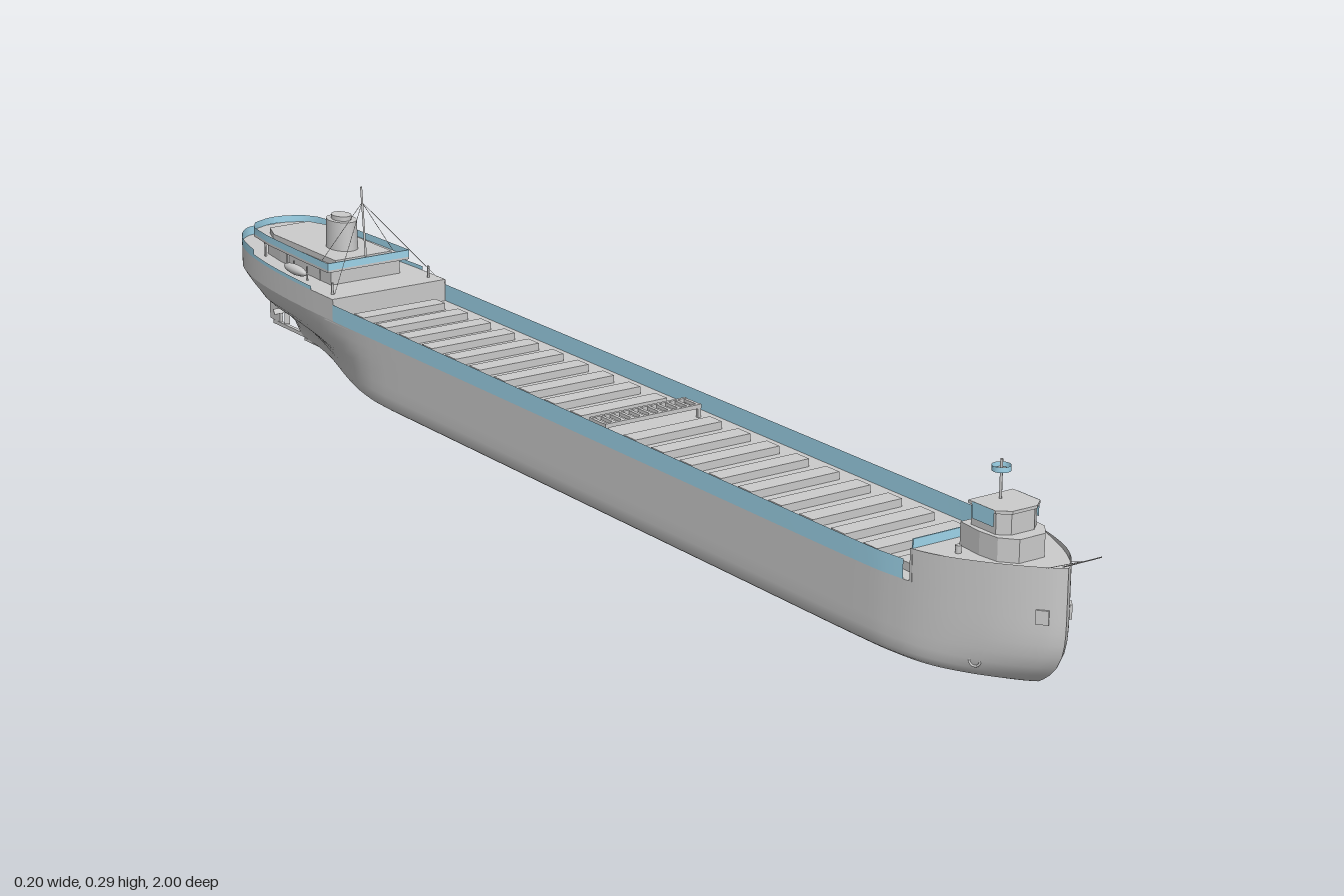
import * as THREE from 'three';

const grey = new THREE.MeshStandardMaterial({ color: 0xcccccc, side: THREE.DoubleSide });
const blue = new THREE.MeshStandardMaterial({ color: 0x9fd6ec, side: THREE.DoubleSide });
const smooth = THREE.MathUtils.smoothstep, lerp = THREE.MathUtils.lerp;

// Half width of the deck along the ship, as [z, halfWidth]
const OUTLINE = [[-1, 0], [-0.995, 0.022], [-0.975, 0.043], [-0.94, 0.062], [-0.88, 0.079], [-0.8, 0.091],
  [-0.7, 0.098], [-0.6, 0.1], [-0.4, 0.1], [0, 0.1], [0.4, 0.1], [0.66, 0.1], [0.74, 0.096], [0.8, 0.084],
  [0.86, 0.062], [0.9, 0.041], [0.93, 0.018], [0.945, 0]];
const stations = new THREE.SplineCurve(OUTLINE.map(p => new THREE.Vector2(...p))).getPoints(102);

function halfWidth(z) {
  for (let i = 1; i < stations.length; i++) {
    const a = stations[i - 1], b = stations[i];
    if (z <= b.x) return Math.max(0, lerp(a.y, b.y, (z - a.x) / (b.x - a.x)));
  }
  return 0;
}

const zRange = (z0, z1) => [z0, ...stations.map(s => s.x).filter(z => z > z0 + 1e-4 && z < z1 - 1e-4), z1];

// Surface through rows of points
function loft(rows) {
  const n = rows[0].length, index = [];
  for (let i = 0; i < rows.length - 1; i++)
    for (let j = 0; j < n - 1; j++) {
      const a = i * n + j, b = a + n;
      index.push(a, a + 1, b, a + 1, b + 1, b);
    }
  const g = new THREE.BufferGeometry();
  g.setAttribute('position', new THREE.Float32BufferAttribute(rows.flat(2), 3));
  g.setIndex(index);
  g.computeVertexNormals();
  return g;
}

// Cross-sections blend from a full midship box to a narrow stern run
function hullGeometry(deckY) {
  const height = [0, 0, 0.015, 0.06, 0.13, 0.25, 0.4, 0.55, 0.7, 0.85, 1];
  const full = [0, 0.8, 0.88, 0.95, 0.985, 1, 1, 1, 1, 1, 1];
  const run = [0, 0.03, 0.04, 0.06, 0.09, 0.17, 0.34, 0.6, 0.8, 0.93, 1];
  const rows = stations.map(({ x: z, y }) => {
    const w = Math.max(0, y), t = 1 - smooth(z, -0.88, -0.45);
    const keel = 0.002 + 0.055 * smooth(-z, 0.85, 0.93) + 0.035 * smooth(-z, 0.93, 1);
    const side = height.map((f, j) => [w * lerp(full[j], run[j], t), lerp(keel, deckY, f),
      z - 0.045 * (1 - f) ** 4 * smooth(z, 0.75, 0.94)]);
    return [...side.slice(1).reverse().map(([x, yy, zz]) => [-x, yy, zz]), ...side];
  });
  return loft(rows);
}

// Upright strip following the ship's side
function sideStrip(z0, z1, low, high, sign, inset = 0) {
  return loft(zRange(z0, z1).map(z => {
    const x = sign * Math.max(0, halfWidth(z) - inset);
    return [[x, low(z), z], [x, high(z), z]];
  }));
}

// Flat slab from half an outline of [x, z], mirrored across the centre line
function slab(half, y0, y1) {
  const pts = [...half, ...half.slice().reverse().map(([x, z]) => [-x, z])];
  const s = new THREE.Shape(pts.map(([x, z]) => new THREE.Vector2(x, -z)));
  return new THREE.ExtrudeGeometry(s, { depth: y1 - y0, bevelEnabled: false }).rotateX(-Math.PI / 2).translate(0, y0, 0);
}

export function createModel() {
  const ship = new THREE.Group();
  const add = (name, geo, mat = grey, x = 0, y = 0, z = 0) => {
    const m = new THREE.Mesh(geo, mat);
    m.name = name;
    m.position.set(x, y, z);
    ship.add(m);
    return m;
  };
  const box = (name, w, h, d, x, y, z, mat) => add(name, new THREE.BoxGeometry(w, h, d), mat, x, y, z);
  const rod = (name, a, b, r) => add(name, new THREE.TubeGeometry(
    new THREE.LineCurve3(new THREE.Vector3(...a), new THREE.Vector3(...b)), 1, r, 6));
  const deck = (name, z0, z1, y) => add(name, slab(zRange(z0, z1).map(z => [halfWidth(z) * 0.998, z]), y - 0.003, y));
  const rail = (name, half, y0, y1) => [1, -1].forEach(s =>
    add(name, loft(half.map(([x, z]) => [[s * x, y0, z], [s * x, y1, z]])), blue));

  // Hull, raised ends and bulwarks
  const deckY = 0.108, poopY = 0.142, foreY = 0.15;
  const level = y => () => y;
  const sheer = z => lerp(0.15, 0.16, smooth(z, 0.76, 0.945));
  add('hull', hullGeometry(deckY));
  deck('mainDeck', -0.62, 0.78, deckY);
  deck('poopDeck', -0.999, -0.595, poopY);
  deck('forecastleDeck', 0.765, 0.944, foreY);
  for (const s of [1, -1]) {
    add('poopSide', sideStrip(-1, -0.595, level(deckY), level(poopY), s));
    add('forecastleSide', sideStrip(0.765, 0.945, level(deckY), sheer, s));
    add('bulwark', sideStrip(-0.595, 0.755, level(deckY), level(0.134), s), blue);
    add('poopRail', sideStrip(-1, -0.87, level(poopY), level(0.156), s), blue);
    add('poopSideRail', sideStrip(-0.87, -0.66, level(poopY), level(0.148), s), blue);
  }
  box('poopBulkhead', 0.198, poopY - deckY, 0.004, 0, (poopY + deckY) / 2, -0.597);
  box('forecastleBulkhead', 0.184, foreY - deckY, 0.004, 0, (foreY + deckY) / 2, 0.767);
  box('forecastleRail', 0.18, 0.012, 0.002, 0, foreY + 0.006, 0.767, blue);

  // Row of hatch covers, with a slatted hatch crane amidships
  for (let i = 0; i < 21; i++) {
    const z = -0.565 + 0.0647 * i;
    if (i !== 10) box('hatch', 0.144, 0.012, 0.028, 0, deckY + 0.005, z);
  }
  const craneZ = 0.082;
  for (const s of [1, -1]) box('craneBeam', 0.16, 0.006, 0.005, 0, 0.124, craneZ + s * 0.017);
  for (let i = 0; i < 11; i++) box('craneSlat', 0.005, 0.005, 0.034, -0.0775 + i * 0.0155, 0.124, craneZ);
  for (const x of [-0.077, 0.077]) for (const s of [1, -1])
    box('craneLeg', 0.005, 0.018, 0.005, x, 0.115, craneZ + s * 0.017);

  // Forward deckhouse, wheelhouse and lookout mast
  const house = [[0.036, 0.79], [0.04, 0.83], [0.037, 0.86], [0.02, 0.88]];
  add('forwardHouse', slab(house, foreY, 0.18));
  add('wheelhouse', slab([[0.032, 0.805], [0.032, 0.85], [0.018, 0.862]], 0.18, 0.207));
  add('wheelhouseRoof', slab([[0.035, 0.802], [0.035, 0.852], [0.019, 0.865]], 0.207, 0.211));
  rail('wheelhouseRail', [[0.0355, 0.81], [0.0355, 0.85]], 0.19, 0.211);
  rod('lookoutMast', [0, 0.21, 0.82], [0, 0.261, 0.82], 0.0018);
  add('lookoutRing', new THREE.CylinderGeometry(0.012, 0.012, 0.007, 16, 1, true), blue, 0, 0.25, 0.82);
  add('lookoutFloor', new THREE.CylinderGeometry(0.01, 0.01, 0.002, 16), grey, 0, 0.247, 0.82);
  rod('steeringPole', [0, 0.158, 0.935], [0, 0.19, 1], 0.0008);
  for (const s of [1, -1]) {
    rod('poleStay', [s * 0.02, 0.158, 0.927], [0, 0.175, 0.968], 0.0004);
    add('forecastleBollard', new THREE.CylinderGeometry(0.004, 0.004, 0.01, 8), grey, s * 0.055, foreY + 0.005, 0.81);
    // Anchor pockets and thruster openings
    const pocket = box('anchorPocket', 0.016, 0.018, 0.006, s * 0.021, 0.097, 0.926);
    pocket.rotation.y = s * 0.9;
    const ring = add('thrusterRing', new THREE.TorusGeometry(0.007, 0.0015, 6, 14), grey, s * 0.06, 0.026, 0.852);
    ring.rotation.y = s * 1.1;
  }

  // Aft deckhouse and boat deck
  const boatDeck = [[0.072, -0.655], [0.07, -0.75], [0.066, -0.85], [0.058, -0.91], [0.042, -0.935], [0.015, -0.947]];
  add('aftHouse', slab(boatDeck.map(([x, z]) => [x * 0.85, -0.665 + (z + 0.655) * 0.85]), poopY, 0.167));
  add('boatDeck', slab(boatDeck, 0.165, 0.169));
  const lip = [...boatDeck, [0, -0.949]];
  rail('boatDeckRail', lip, 0.169, 0.18);
  box('boatDeckFrontRail', 0.144, 0.011, 0.002, 0, 0.1745, -0.655, blue);
  add('upperHouse', slab([[0.05, -0.67], [0.05, -0.86], [0.035, -0.9]], 0.168, 0.178));
  for (const s of [1, -1]) {
    for (const z of [-0.7, -0.8, -0.87]) box('deckPost', 0.003, 0.024, 0.003, s * 0.06, 0.154, z);
    const boat = add('lifeboat', new THREE.SphereGeometry(1, 14, 10), grey, s * 0.086, 0.156, -0.73);
    boat.scale.set(0.008, 0.008, 0.033);
    for (const z of [-0.71, -0.75]) box('davit', 0.002, 0.022, 0.002, s * 0.077, 0.153, z);
  }

  // Funnel
  const funnel = add('funnel', new THREE.CylinderGeometry(0.021, 0.022, 0.046, 24), grey, 0, 0.2, -0.735);
  funnel.scale.z = 1.45;
  const cap = add('funnelCap', new THREE.CylinderGeometry(0.014, 0.014, 0.007, 20), grey, 0, 0.2265, -0.735);
  cap.scale.z = 1.4;

  // Aft mast and its stays
  const top = [0, 0.286, -0.673], head = [0, 0.262, -0.671];
  rod('aftMast', [0, 0.166, -0.662], top, 0.0018);
  for (const s of [1, -1]) {
    rod('stay', head, [s * 0.09, 0.146, -0.605], 0.0004);
    rod('stay', head, [s * 0.065, 0.172, -0.69], 0.0004);
    rod('bitt', [s * 0.085, poopY, -0.62], [s * 0.085, 0.16, -0.62], 0.002);
  }

  // Rudder, stock and propeller
  box('rudder', 0.005, 0.058, 0.032, 0, 0.038, -0.95);
  rod('rudderStock', [0, 0.06, -0.945], [0, 0.095, -0.945], 0.003);
  box('skeg', 0.006, 0.006, 0.12, 0, 0.006, -0.895);
  const shaft = add('propellerHub', new THREE.CylinderGeometry(0.004, 0.005, 0.03, 10), grey, 0, 0.034, -0.905);
  shaft.rotation.x = Math.PI / 2;
  for (let i = 0; i < 4; i++) {
    const g = new THREE.BoxGeometry(0.009, 0.022, 0.0015).rotateY(0.5).translate(0, 0.013, 0).rotateZ(i * Math.PI / 2);
    add('propellerBlade', g, grey, 0, 0.034, -0.915);
  }
  // Keel strip at ground level
  box('keel', 0.012, 0.004, 1.72, 0, 0.002, 0.01);
  return ship;
}
